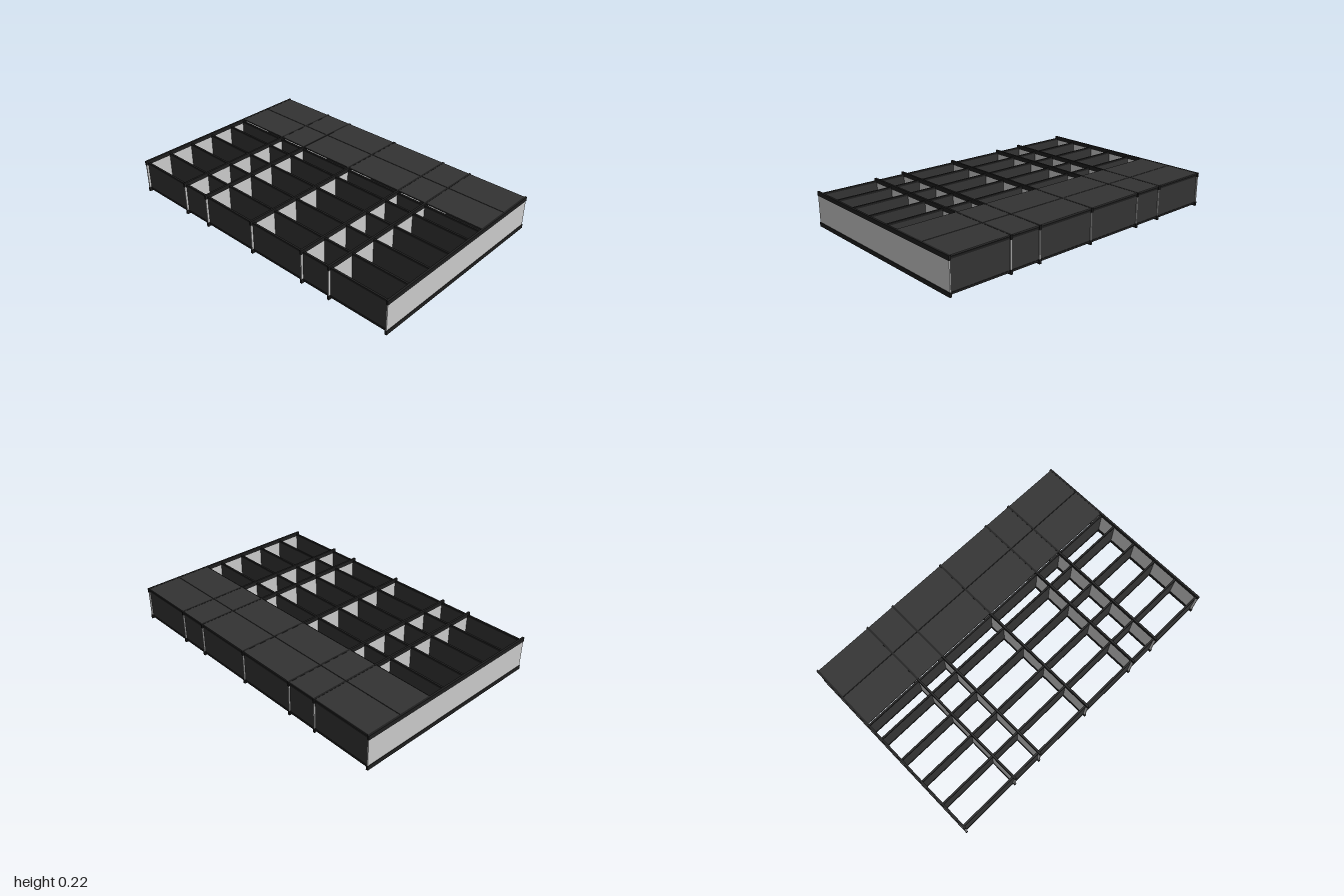
import * as THREE from 'three';

export function createModel() {
  const model = new THREE.Group();
  const grey = new THREE.MeshStandardMaterial({ color: 0xcccccc });
  const panel = new THREE.MeshStandardMaterial({ color: 0x333333 });
  const steel = new THREE.MeshStandardMaterial({ color: 0x1e1e1e });

  const box = (parent, name, material, size, position) => {
    const mesh = new THREE.Mesh(new THREE.BoxGeometry(...size), material);
    mesh.name = name;
    mesh.position.set(...position);
    parent.add(mesh);
  };

  const joistX = [-0.993, -0.6, -0.398, 0, 0.398, 0.6, 0.993];
  const beamZ = [0.626, 0.457, 0.282, 0.108, -0.064, -0.177, -0.41, -0.632];

  // Lengthwise joists: pale web between dark top and bottom chords
  for (const x of joistX) {
    const joist = new THREE.Group();
    joist.name = 'joist';
    joist.position.x = x;
    box(joist, 'joistWeb', grey, [0.008, 0.17, 1.286], [0, 0.111, 0]);
    for (const y of [0.014, 0.208]) {
      box(joist, 'joistChord', steel, [0.013, 0.027, 1.29], [0, y, 0]);
    }
    model.add(joist);
  }

  // Cross beams: thin dark web with slim chords, one per bay
  for (const z of beamZ) {
    const beam = new THREE.Group();
    beam.name = 'crossBeam';
    beam.position.z = z;
    for (let i = 0; i < joistX.length - 1; i++) {
      const mid = (joistX[i] + joistX[i + 1]) / 2;
      const length = joistX[i + 1] - joistX[i] - 0.008;
      box(beam, 'beamWeb', panel, [length, 0.18, 0.007], [mid, 0.111, 0]);
      for (const y of [0.018, 0.204]) {
        box(beam, 'beamChord', steel, [length, 0.012, 0.012], [mid, y, 0]);
      }
    }
    model.add(beam);
  }

  // Deck: two rows of boards over the rear bays
  const rows = [[-0.638, -0.412], [-0.408, -0.185]];
  for (const [back, front] of rows) {
    box(model, 'deckBoard', panel, [1.974, 0.008, front - back], [0, 0.2165, (back + front) / 2]);
  }
  return model;
}
